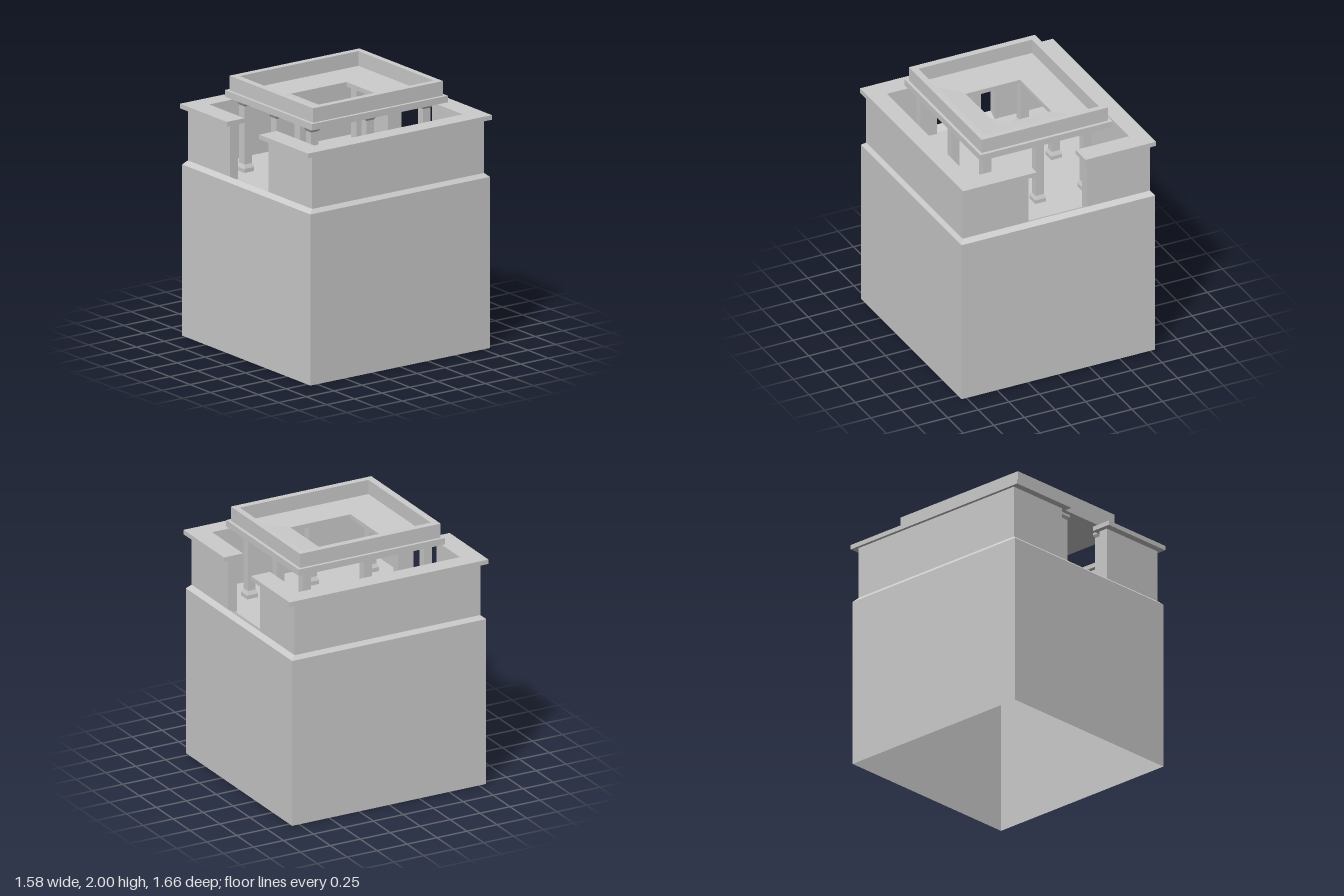
import * as THREE from 'three';

const material = new THREE.MeshStandardMaterial({ color: 0xcccccc, flatShading: true, side: THREE.DoubleSide });

// Skin a stack of rectangular rings [x0, x1, z0, z1, y], outward when listed bottom to top
function loftRings(rings) {
  const corners = ([x0, x1, z0, z1, y]) => [[x0, y, z1], [x1, y, z1], [x1, y, z0], [x0, y, z0]];
  const pos = [];
  for (let i = 0; i < rings.length - 1; i++) {
    const lo = corners(rings[i]);
    const hi = corners(rings[i + 1]);
    for (let k = 0; k < 4; k++) {
      const n = (k + 1) % 4;
      pos.push(...lo[k], ...lo[n], ...hi[n], ...lo[k], ...hi[n], ...hi[k]);
    }
  }
  const geo = new THREE.BufferGeometry();
  geo.setAttribute('position', new THREE.Float32BufferAttribute(pos, 3));
  geo.computeVertexNormals();
  return geo;
}

// C-shaped plan extruded upwards; side = 1 opens towards -x, side = -1 towards +x
function cShape(side, end, outerX, innerX, outerZ, innerZ, y0, y1) {
  const plan = [
    [end, outerZ], [outerX, outerZ], [outerX, -outerZ], [end, -outerZ],
    [end, -innerZ], [innerX, -innerZ], [innerX, innerZ], [end, innerZ],
  ].map(([x, z]) => new THREE.Vector2(side * x, z));
  const geo = new THREE.ExtrudeGeometry(new THREE.Shape(plan), { depth: y1 - y0, bevelEnabled: false });
  geo.rotateX(-Math.PI / 2);
  geo.translate(0, y0, 0);
  return geo;
}

export function createModel() {
  const model = new THREE.Group();
  model.name = 'rooftopPavilionBlock';
  const add = (name, geo, parent = model) => {
    const mesh = new THREE.Mesh(geo, material);
    mesh.name = name;
    parent.add(mesh);
    return mesh;
  };

  // Main block, open underneath, with a sloped ridge around the terrace
  add('mainBlock', loftRings([
    [-0.79, 0.79, -0.81, 0.81, 0],
    [-0.79, 0.79, -0.81, 0.81, 1.3],
    [-0.765, 0.765, -0.775, 0.775, 1.33],
    [-0.7, 0.7, -0.715, 0.715, 1.3],
  ]));
  add('terraceFloor', new THREE.PlaneGeometry(1.4, 1.43).rotateX(-Math.PI / 2).translate(0, 1.3, 0));

  // Parapet halves with overhanging copings, gaps at front and back
  for (const [side, label, wallEnd, capEnd] of [[1, 'left', 0.225, 0.187], [-1, 'right', 0.25, 0.212]]) {
    add(label + 'ParapetWall', cShape(side, wallEnd, 0.765, 0.68, 0.775, 0.7, 1.3, 1.73));
    add(label + 'ParapetCoping', cShape(side, capEnd, 0.788, 0.647, 0.83, 0.67, 1.73, 1.765));
  }

  // Square columns with a flared foot and capital, ringed around the open centre
  const profile = [
    [0.045, 1.3], [0.045, 1.33], [0.033, 1.36], [0.033, 1.8], [0.045, 1.822], [0.045, 1.84],
  ].map(([half, y]) => new THREE.Vector2(half * Math.SQRT2, y));
  const columnGeo = new THREE.LatheGeometry(profile, 4, Math.PI / 4);
  const columns = new THREE.Group();
  columns.name = 'columns';
  model.add(columns);
  const xs = [-0.39, 0, 0.43];
  const zs = [-0.48, 0.03, 0.53];
  xs.forEach((x, i) => zs.forEach((z, j) => {
    if (i === 1 && j === 1) return;
    add('column', columnGeo, columns).position.set(x, 0, z);
  }));

  // Roof: stepped slab, raised rim and a shallow funnel down to the square opening
  const opening = [-0.222, 0.22, -0.257, 0.245];
  add('roof', loftRings([
    [...opening, 1.84],
    [-0.54, 0.537, -0.615, 0.608, 1.84],
    [-0.54, 0.537, -0.615, 0.608, 1.89],
    [-0.517, 0.513, -0.59, 0.583, 1.89],
    [-0.517, 0.513, -0.59, 0.583, 2],
    [-0.465, 0.462, -0.543, 0.53, 2],
    [-0.465, 0.462, -0.543, 0.53, 1.888],
    [...opening, 1.874],
    [...opening, 1.84],
  ]));
  return model;
}
